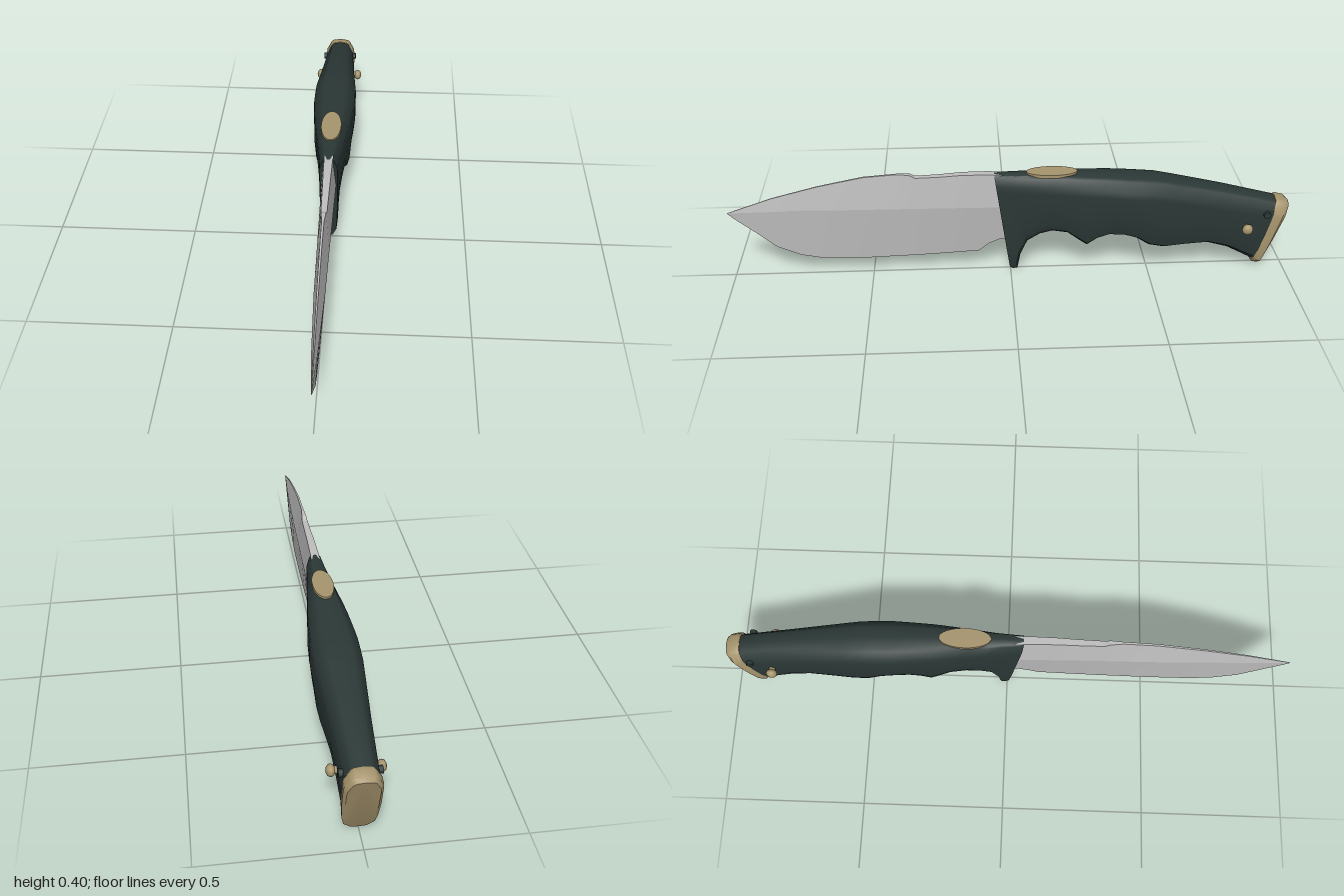
import * as THREE from 'three';
import { toCreasedNormals } from 'three/addons/utils/BufferGeometryUtils.js';

const mat = (name, color) => Object.assign(new THREE.MeshStandardMaterial({ color }), { name });

// Linear lookup in a table of [key, value] pairs with falling keys
function lookup(table, k) {
  if (k >= table[0][0]) return table[0][1];
  for (let i = 1; i < table.length; i++) {
    const [k0, v0] = table[i - 1], [k1, v1] = table[i];
    if (k >= k1) return v0 + (v1 - v0) * (k0 - k) / (k0 - k1);
  }
  return table[table.length - 1][1];
}

// Skin over rings of [x, y, z] points, ordered front to back, with closed ends
function loft(rings, crease) {
  const n = rings[0].length, pos = rings.flat(2), idx = [];
  for (let r = 0; r < rings.length - 1; r++) {
    for (let i = 0; i < n; i++) {
      const j = (i + 1) % n, a = r * n, b = a + n;
      idx.push(a + i, a + j, b + i, a + j, b + j, b + i);
    }
  }
  const last = (rings.length - 1) * n;
  for (let i = 1; i < n - 1; i++) idx.push(0, i + 1, i, last, last + i, last + i + 1);
  const g = new THREE.BufferGeometry();
  g.setAttribute('position', new THREE.Float32BufferAttribute(pos, 3));
  g.setIndex(idx);
  return toCreasedNormals(g, crease);
}

// Grip cross-section: crowned top, shoulders, sides that narrow to a rounded belly;
// the ring may lean, with its own z at top and bottom
function gripRing(zt, yt, zb, yb, w) {
  const h = yt - yb;
  const half = [
    [0.5, yt - 0.004], [0.66, yt - 0.01], [0.97, yt - 0.042], [1, yt - 0.065],
    [1, yb + h * 0.45], [0.92, yb + h * 0.2], [0.8, yb + h * 0.08], [0.4, yb + h * 0.008],
  ];
  const at = (x, y) => [x * w, y, zb + (zt - zb) * (y - yb) / h];
  return [
    at(0, yt), ...half.map(([x, y]) => at(x, y)),
    at(0, yb), ...half.slice().reverse().map(([x, y]) => at(-x, y)),
  ];
}

export function createModel() {
  const model = new THREE.Group();
  model.name = 'knife';
  const steel = mat('steel', 0xbebebe);
  const grip = mat('darkGreenGrip', 0x2b3836);
  const brass = mat('brass', 0xa6946d);
  const add = (name, geometry, material) => {
    const mesh = new THREE.Mesh(geometry, material);
    mesh.name = name;
    model.add(mesh);
    return mesh;
  };

  // Blade: spine, widest ridge and cutting edge along z
  const spine = [[1, 0.258], [0.84, 0.313], [0.68, 0.355], [0.52, 0.388], [0.4, 0.397],
    [0.355, 0.395], [0.335, 0.384], [0.25, 0.387], [0.17, 0.393], [0.06, 0.393], [0, 0.386]];
  const edge = [[1, 0.254], [0.97, 0.226], [0.92, 0.185], [0.84, 0.115], [0.757, 0.078], [0.677, 0.062],
    [0.516, 0.059], [0.3, 0.066], [0.115, 0.077], [0.08, 0.108], [0.035, 0.13], [0, 0.13]];
  const ridgeWidth = [[1, 0.001], [0.84, 0.01], [0.6, 0.018], [0.3, 0.022], [0.05, 0.026]];
  const spineWidth = [[1, 0.0005], [0.84, 0.002], [0.4, 0.004], [0.335, 0.01], [0.06, 0.015]];
  const edgeWidth = [[1, 0.0005], [0.9, 0.0015], [0.115, 0.002], [0.06, 0.01]];
  const bladeZ = [1, 0.97, 0.92, 0.84, 0.757, 0.677, 0.6, 0.516, 0.4, 0.355, 0.335, 0.25, 0.17, 0.115, 0.08, 0.035, 0];
  add('blade', loft(bladeZ.map((z) => {
    const top = lookup(spine, z), bottom = lookup(edge, z);
    const s = lookup(spineWidth, z), r = lookup(ridgeWidth, z), e = lookup(edgeWidth, z);
    const mid = Math.min(0.268, bottom + (top - bottom) * 0.75);
    return [[s, top, z], [r, mid, z], [e, bottom, z], [-e, bottom, z], [-r, mid, z], [-s, top, z]];
  }), 0.12), steel);

  // Handle: belly outline with finger guard and grooves, [z, y]
  const belly = [[0.002, 0.006], [-0.008, 0], [-0.025, 0.003], [-0.035, 0.06], [-0.06, 0.12], [-0.105, 0.15],
    [-0.15, 0.163], [-0.205, 0.155], [-0.245, 0.125], [-0.275, 0.104], [-0.31, 0.13], [-0.35, 0.147],
    [-0.4, 0.147], [-0.455, 0.13], [-0.5, 0.1], [-0.555, 0.088], [-0.63, 0.095], [-0.715, 0.1],
    [-0.79, 0.078], [-0.89, 0.023]];
  const back = [[0.06, 0.393], [-0.18, 0.392], [-0.35, 0.385], [-0.52, 0.371], [-0.74, 0.325], [-0.96, 0.27]];
  const gripWidth = [[0.06, 0.031], [0, 0.037], [-0.1, 0.05], [-0.25, 0.068], [-0.4, 0.079],
    [-0.5, 0.079], [-0.75, 0.063], [-0.96, 0.054]];
  add('handle', loft(belly.map(([zb, yb]) => {
    const zt = 0.056 + zb * 1.142;
    return gripRing(zt, lookup(back, zt), zb, yb, lookup(gripWidth, zt));
  }), 0.6), grip);

  // Pommel plate closing the slanted rear end
  add('pommel', loft([
    gripRing(-0.95, 0.275, -0.884, 0.018, 0.052),
    gripRing(-0.96, 0.276, -0.892, 0.01, 0.058),
    gripRing(-0.988, 0.268, -0.908, 0.006, 0.059),
    gripRing(-1, 0.258, -0.915, 0.018, 0.05),
  ], 0.6), brass);

  // Oval inlay on the back of the grip
  const inlay = add('topInlay', new THREE.CylinderGeometry(1, 1, 0.012, 32), brass);
  inlay.scale.set(0.036, 1, 0.09);
  inlay.position.set(0, 0.39, -0.145);

  // Domed rivet and small pin on both sides
  for (const side of [1, -1]) {
    const label = side > 0 ? 'left' : 'right';
    const stem = add(label + 'RivetStem', new THREE.CylinderGeometry(0.012, 0.012, 0.04, 12), brass);
    stem.rotation.z = Math.PI / 2;
    stem.position.set(side * 0.06, 0.18, -0.845);
    const head = add(label + 'RivetHead', new THREE.SphereGeometry(0.02, 12, 8), brass);
    head.scale.x = 0.75;
    head.position.set(side * 0.077, 0.18, -0.845);
    const pin = add(label + 'Pin', new THREE.CylinderGeometry(0.013, 0.013, 0.02, 12), grip);
    pin.rotation.z = Math.PI / 2;
    pin.position.set(side * 0.056, 0.228, -0.915);
  }
  return model;
}
